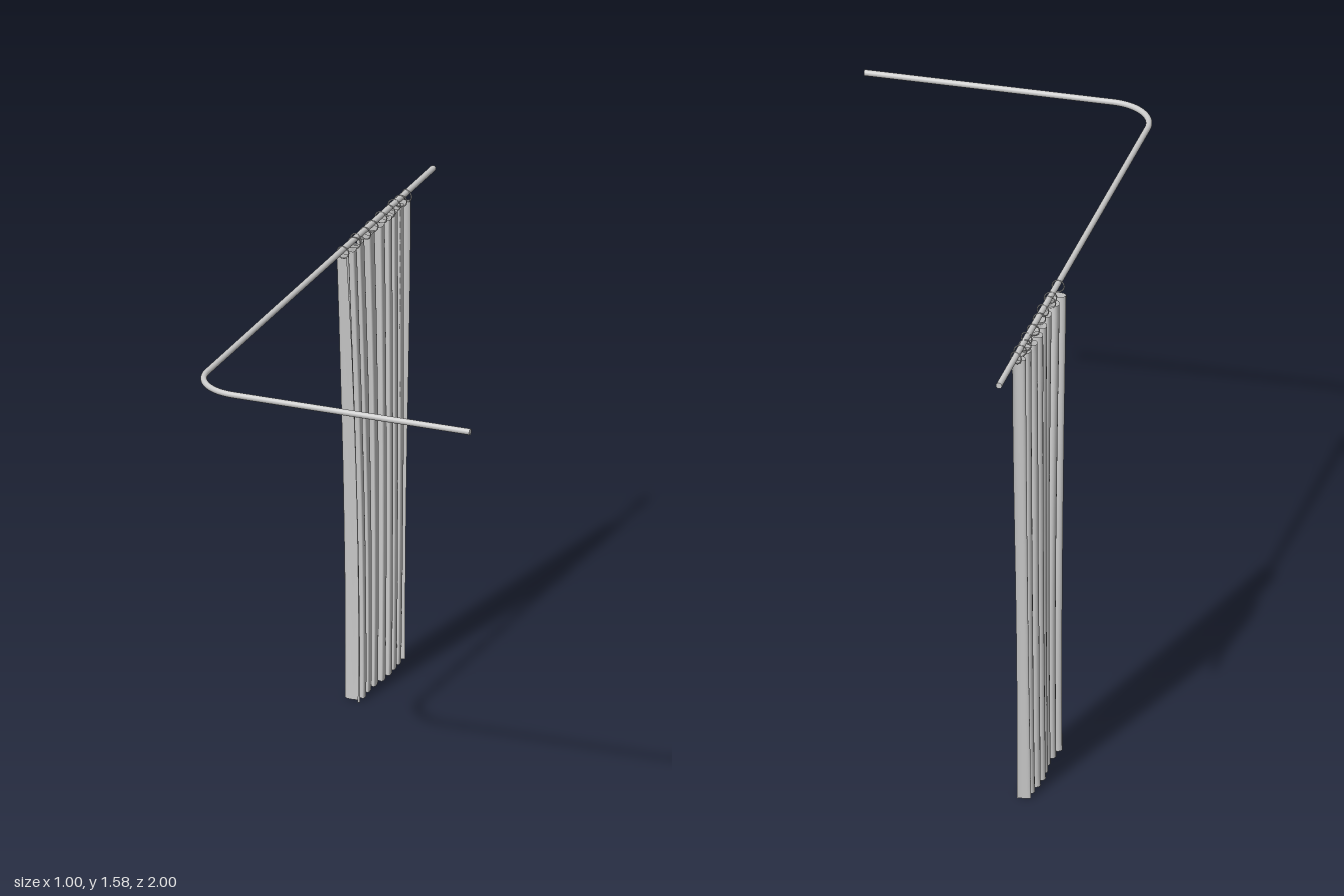
import * as THREE from 'three';

const ROD_X = -0.455, ROD_Y = 1.567, ROD_R = 0.01;
const CURTAIN_TOP = 1.545;
const material = new THREE.MeshStandardMaterial({ color: 0xcccccc });
const clothMaterial = new THREE.MeshStandardMaterial({ color: 0xcccccc, side: THREE.DoubleSide });

function addMesh(parent, name, geometry, mat = material) {
  const mesh = new THREE.Mesh(geometry, mat);
  mesh.name = name;
  parent.add(mesh);
  return mesh;
}

// L-shaped rod: two straight runs joined by a quarter-circle bend
function createRod() {
  const rod = new THREE.Group();
  rod.name = 'curtainRod';
  const bend = 0.15, endZ = 0.99;
  const straight = (name, length, x, z) => {
    const g = new THREE.CylinderGeometry(ROD_R, ROD_R, length, 20);
    const mesh = addMesh(rod, name, g);
    mesh.position.set(x, ROD_Y, z);
    return mesh;
  };
  const sideLength = endZ - bend + 1;
  straight('sideRod', sideLength, ROD_X, -1 + sideLength / 2).rotation.x = Math.PI / 2;
  const frontLength = 0.5 - (ROD_X + bend);
  straight('frontRod', frontLength, 0.5 - frontLength / 2, endZ).rotation.z = Math.PI / 2;
  const corner = addMesh(rod, 'rodBend', new THREE.TorusGeometry(bend, ROD_R, 20, 24, Math.PI / 2));
  corner.rotation.set(Math.PI / 2, 0, Math.PI / 2);
  corner.position.set(ROD_X + bend, ROD_Y, endZ - bend);
  return rod;
}

// Pleated cloth: a plane whose rows are gathered towards the hem
function createCurtain() {
  const g = new THREE.PlaneGeometry(1, 1, 200, 40);
  const p = g.attributes.position;
  const folds = 8;
  for (let i = 0; i < p.count; i++) {
    const u = p.getX(i) + 0.5;
    const t = 0.5 - p.getY(i); // 0 at the top, 1 at the hem
    const frontEdge = -0.26 - 0.105 * Math.sin(t * Math.PI / 2);
    const backEdge = -0.785 + 0.025 * t * t;
    // uneven pleat spacing and depth, drifting slightly down the cloth
    const a = 2 * Math.PI * folds * u + 0.9 * Math.sin(7 * u + 0.6) + 0.5 * Math.sin(3 * t + 9 * u);
    const depth = 0.022 + 0.005 * Math.sin(11 * u + 1) + 0.004 * t;
    const wave = Math.sin(a) + 0.18 * Math.sin(2 * a + 1);
    const curl = 0.012 * Math.sin(2 * a) * Math.min(1, 8 * u, 8 * (1 - u));
    const x = -0.459 - 0.009 * t + depth * wave;
    p.setXYZ(i, x, CURTAIN_TOP * (1 - t), THREE.MathUtils.lerp(frontEdge, backEdge, u) + curl);
  }
  g.computeVertexNormals();
  return g;
}

export function createModel() {
  const model = new THREE.Group();
  model.name = 'cornerCurtain';
  model.add(createRod());
  addMesh(model, 'curtain', createCurtain(), clothMaterial);

  // Rings looped over the rod
  const rings = new THREE.Group();
  rings.name = 'curtainRings';
  const ringGeometry = new THREE.TorusGeometry(0.0195, 0.002, 8, 24);
  [-0.265, -0.35, -0.38, -0.44, -0.5, -0.58, -0.64, -0.69, -0.73, -0.78].forEach((z, i) => {
    const ring = addMesh(rings, 'curtainRing', ringGeometry);
    ring.position.set(ROD_X + 0.004 * Math.sin(i * 2.4), 1.557, z);
    ring.rotation.y = 0.35 * Math.sin(i * 1.9);
  });
  model.add(rings);
  return model;
}
